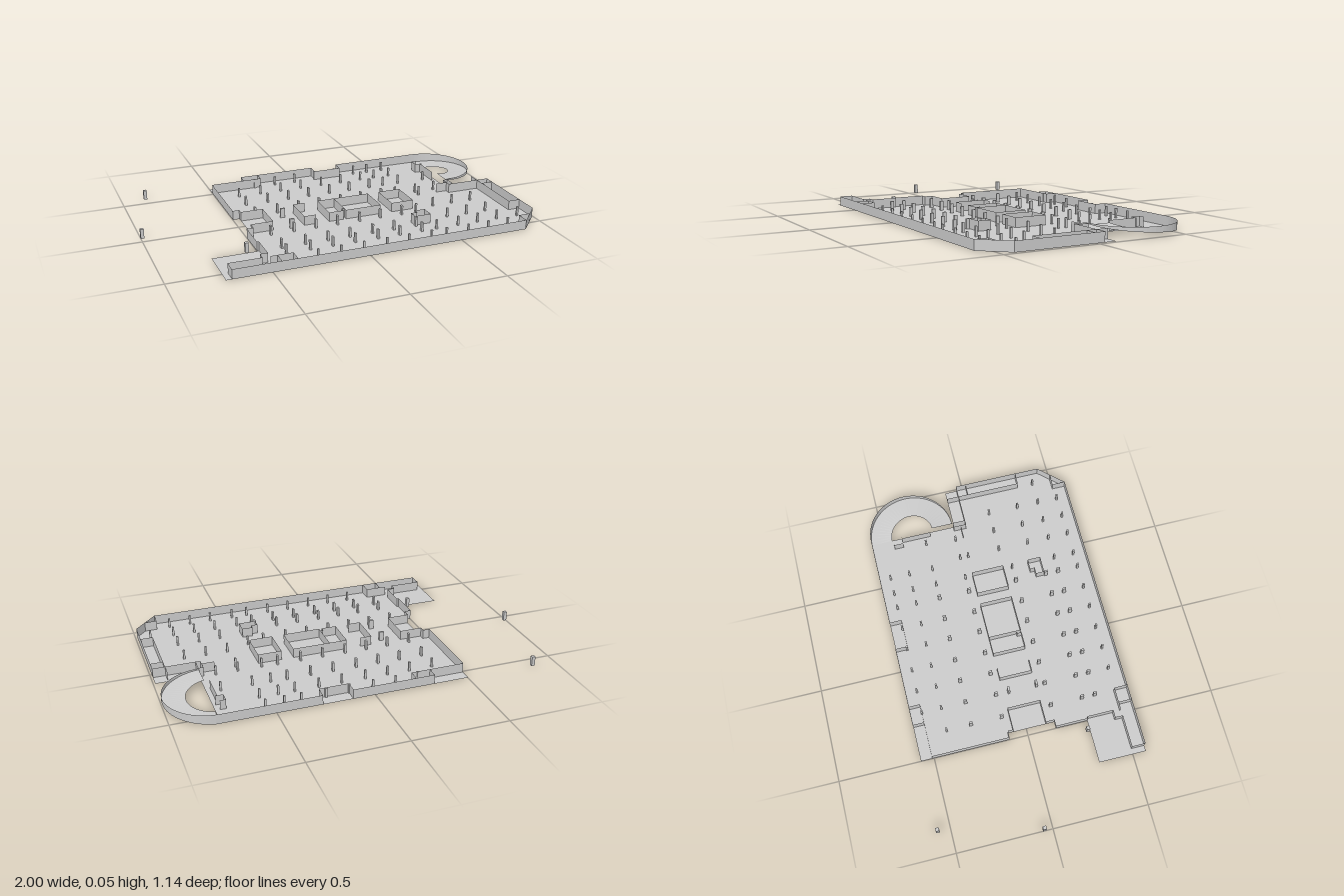
import * as THREE from 'three';

const FLOOR = 0.004, TOP = 0.055;
const material = new THREE.MeshStandardMaterial({ color: 0xcccccc, side: THREE.DoubleSide, flatShading: true });

function add(parent, geometry, name) {
  const mesh = new THREE.Mesh(geometry, material);
  mesh.name = name;
  parent.add(mesh);
  return mesh;
}

// Upright thin walls following a path of [x, z] points
function addWalls(parent, name, path) {
  const group = new THREE.Group();
  group.name = name;
  for (let i = 1; i < path.length; i++) {
    const [x0, z0] = path[i - 1], [x1, z1] = path[i];
    const wall = add(group, new THREE.PlaneGeometry(Math.hypot(x1 - x0, z1 - z0), TOP - FLOOR), 'wallPanel');
    wall.position.set((x0 + x1) / 2, (TOP + FLOOR) / 2, (z0 + z1) / 2);
    wall.rotation.y = -Math.atan2(z1 - z0, x1 - x0);
  }
  parent.add(group);
}

// Strip swept round the half ring, between an inner and an outer edge function
function sweep(inner, outer, steps = 32) {
  const points = [], index = [];
  for (let i = 0; i <= steps; i++) {
    points.push(...inner(i / steps), ...outer(i / steps));
    if (i < steps) {
      const a = i * 2;
      index.push(a, a + 2, a + 1, a + 1, a + 2, a + 3);
    }
  }
  const g = new THREE.BufferGeometry();
  g.setAttribute('position', new THREE.Float32BufferAttribute(points, 3));
  g.setIndex(index);
  g.computeVertexNormals();
  return g;
}

export function createModel() {
  const model = new THREE.Group();
  model.name = 'parkingLevel';

  // Floor slab
  const outline = [
    [-0.5, -0.57], [0.77, -0.57], [0.77, -0.1], [0.99, -0.1], [0.99, 0.44], [0.87, 0.57],
    [-0.73, 0.57], [-0.73, 0.32], [-0.5, 0.32], [-0.5, 0.15], [-0.465, 0.15], [-0.465, -0.1], [-0.5, -0.1],
  ];
  const shape = new THREE.Shape(outline.map(([x, z]) => new THREE.Vector2(x, -z)));
  const floor = add(model, new THREE.ShapeGeometry(shape), 'floor');
  floor.rotation.x = -Math.PI / 2;
  floor.position.y = FLOOR;

  // Perimeter walls with their recesses
  addWalls(model, 'backWall', [
    [-0.5, -0.1], [-0.5, -0.51], [-0.315, -0.51], [-0.315, -0.57], [0.115, -0.57],
    [0.115, -0.505], [0.27, -0.505], [0.27, -0.57], [0.77, -0.57],
  ]);
  addWalls(model, 'rightSideWall', [
    [-0.5, -0.1], [-0.465, -0.1], [-0.465, -0.07], [-0.345, -0.07], [-0.345, 0.105], [-0.465, 0.105],
    [-0.465, 0.15], [-0.5, 0.15], [-0.5, 0.32], [-0.49, 0.32], [-0.49, 0.46], [-0.53, 0.46],
    [-0.53, 0.5], [-0.7, 0.5], [-0.7, 0.57],
  ]);
  addWalls(model, 'frontWall', [[-0.7, 0.57], [0.87, 0.57], [0.99, 0.44], [0.99, -0.035]]);

  // Small rooms along the edges
  addWalls(model, 'backRoom', [[-0.315, -0.51], [-0.215, -0.51], [-0.215, -0.57]]);
  addWalls(model, 'frontRoom', [[-0.49, 0.5], [-0.375, 0.5], [-0.375, 0.57]]);
  addWalls(model, 'frontRoomDivider', [[-0.455, 0.5], [-0.455, 0.57]]);
  addWalls(model, 'cornerRoom', [[0.87, 0.57], [0.87, 0.5], [0.935, 0.5]]);
  addWalls(model, 'leftSideRooms', [[0.99, 0.31], [0.925, 0.31], [0.925, -0.1]]);
  addWalls(model, 'leftRoomDivider', [[0.925, 0.02], [0.99, 0.02]]);
  addWalls(model, 'leftRoomEnd', [[0.77, -0.035], [0.99, -0.035]]);
  addWalls(model, 'rampEndRoom', [
    [0.68, -0.065], [0.745, -0.065], [0.745, -0.105], [0.77, -0.105], [0.77, -0.035], [0.745, -0.035], [0.745, -0.065],
  ]);
  addWalls(model, 'rampEntryWall', [
    [0.745, -0.45], [0.715, -0.45], [0.715, -0.4], [0.755, -0.4],
  ]);
  addWalls(model, 'rampSideWall', [[0.745, -0.4], [0.745, -0.24]]);

  // Stair and lift cores in the middle
  addWalls(model, 'coreOne', [[-0.11, -0.07], [-0.175, -0.07], [-0.175, 0.105], [-0.11, 0.105]]);
  addWalls(model, 'coreTwo', [
    [-0.035, 0.105], [0.045, 0.105], [0.045, 0.08], [0.06, 0.08], [0.06, -0.07], [-0.035, -0.07], [-0.035, 0.105],
  ]);
  addWalls(model, 'coreThree', [[0.06, -0.07], [0.06, 0.105], [0.26, 0.105], [0.26, -0.07], [0.06, -0.07]]);
  addWalls(model, 'coreFour', [[0.325, 0.105], [0.45, 0.105], [0.45, -0.07], [0.325, -0.07], [0.325, 0.105]]);
  addWalls(model, 'smallCore', [
    [0.36, 0.27], [0.36, 0.315], [0.45, 0.315], [0.45, 0.245], [0.395, 0.245], [0.395, 0.27], [0.36, 0.27],
  ]);

  // Curved ramp rising from the back, with its outer wall
  const onRing = (r, t, y) => [0.77 + r * Math.sin(t * Math.PI), y, -0.34 - r * Math.cos(t * Math.PI)];
  const rise = (t) => 0.002 + 0.046 * t;
  add(model, sweep((t) => onRing(0.115, t, rise(t)), (t) => onRing(0.23, t, rise(t))), 'ramp');
  add(model, sweep((t) => onRing(0.23, t, rise(t)), (t) => onRing(0.23, t, TOP)), 'rampWall');

  // Columns: each row is a z position with the x positions it uses
  const columns = new THREE.Group();
  columns.name = 'columns';
  model.add(columns);
  const addColumn = (x, z, w, d) =>
    add(columns, new THREE.BoxGeometry(w, TOP - FLOOR, d), 'column').position.set(x, (TOP + FLOOR) / 2, z);
  const main = [-0.375, -0.25, -0.13, -0.01, 0.115, 0.235, 0.36];
  const rows = [
    [-0.51, [...main.slice(1), 0.445, 0.54]],
    [-0.405, [...main, 0.445, 0.54]],
    [-0.275, [...main, 0.445, 0.54, 0.7]],
    [-0.11, [...main, 0.445, 0.57, 0.685]],
    [-0.065, [0.57]],
    [0.11, [0.57, 0.685, 0.8]],
    [0.155, [...main, 0.445]],
    [0.275, [0.57, 0.685, 0.8]],
    [0.325, main],
    [0.395, [...main, 0.445, 0.57, 0.685, 0.8, 0.925]],
    [0.505, [...main.slice(1), 0.445, 0.57, 0.685, 0.8]],
  ];
  for (const [z, xs] of rows)
    for (const x of xs) addColumn(x, z, 0.01, x < 0.4 && Math.abs(z) < 0.4 ? 0.018 : 0.01);
  for (const z of [-0.04, 0.11]) addColumn(-0.245, z, 0.025, 0.012);

  // Detached columns outside the floor
  for (const [x, z] of [[-0.87, -0.565], [-0.992, -0.043], [-0.55, 0.308]]) addColumn(x, z, 0.018, 0.018);

  return model;
}
